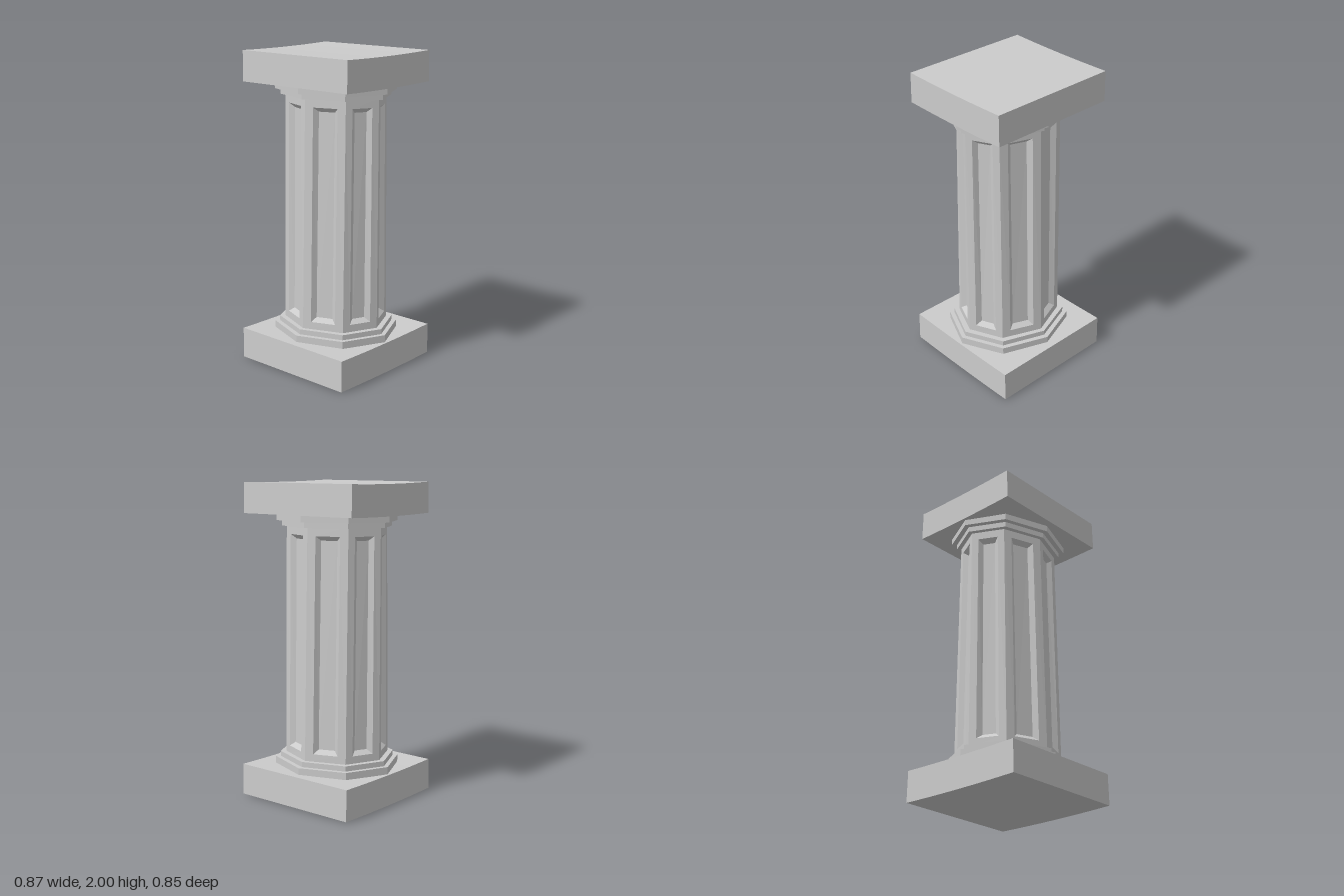
import * as THREE from 'three';

const material = new THREE.MeshStandardMaterial({ color: 0xcccccc, flatShading: true });

function addMesh(group, geometry, name) {
  const mesh = new THREE.Mesh(geometry, material);
  mesh.name = name;
  group.add(mesh);
}

// Square slab with a very slight sag across x and a little widening to the front
function slab(halfBottom, halfTop, y0, y1) {
  const geo = new THREE.BoxGeometry(2, 1, 0.854, 8, 1, 1);
  const p = geo.attributes.position;
  for (let i = 0; i < p.count; i++) {
    const t = p.getY(i) + 0.5, u = p.getX(i), z = p.getZ(i);
    const half = THREE.MathUtils.lerp(halfBottom, halfTop, t);
    p.setXYZ(i, u * half * (1 + 0.015 * z), y0 + (y1 - y0) * t + 0.006 * (u * u - t), z);
  }
  geo.computeVertexNormals();
  return geo;
}

// Octagonal moulding, corners on the axes
function moulding(rx, rz, y0, y1) {
  return new THREE.CylinderGeometry(1, 1, y1 - y0, 8)
    .scale(rx, 1, rz)
    .translate(0, (y0 + y1) / 2, 0);
}

// Octagonal shaft, tapering in x only, with a bevelled recessed panel on each face
function shaft() {
  const y0 = 0.27, y1 = 1.74, panel0 = 0.325, panel1 = 1.68;
  const bevel = 0.027, depth = 0.028;
  const verts = [];
  const corner = (k, y) => {
    const a = k * Math.PI / 4;
    const rx = THREE.MathUtils.lerp(0.312, 0.278, (y - y0) / (y1 - y0));
    const diag = k % 2 ? 0.97 : 1;
    return new THREE.Vector3(Math.sin(a) * rx * diag, y, Math.cos(a) * 0.345 * (k % 2 ? 1.02 : 1));
  };
  const quad = (a, b, c, d) => [a, b, c, a, c, d].forEach(v => verts.push(v.x, v.y, v.z));

  for (let k = 0; k < 8; k++) {
    const point = (u, y, d) => {
      const a = corner(k, y), b = corner(k + 1, y);
      const n = new THREE.Vector3(a.z - b.z, 0, b.x - a.x).normalize();
      return a.lerp(b, u).addScaledVector(n, -d);
    };
    const rect = (u0, u1, b, t, d) => [point(u0, b, d), point(u1, b, d), point(u1, t, d), point(u0, t, d)];
    const width = corner(k, 1).distanceTo(corner(k + 1, 1));
    const du = bevel / width;
    const loops = [
      rect(0, 1, y0, y1, 0),
      rect(0.2, 0.8, panel0, panel1, 0),
      rect(0.2 + du, 0.8 - du, panel0 + bevel, panel1 - bevel, depth),
    ];
    // frame, then bevel, then recessed panel
    for (let l = 0; l < 2; l++)
      for (let i = 0; i < 4; i++) {
        const j = (i + 1) % 4;
        quad(loops[l][i], loops[l][j], loops[l + 1][j], loops[l + 1][i]);
      }
    quad(...loops[2]);
  }
  const geo = new THREE.BufferGeometry();
  geo.setAttribute('position', new THREE.Float32BufferAttribute(verts, 3));
  geo.computeVertexNormals();
  return geo;
}

export function createModel() {
  const column = new THREE.Group();
  column.name = 'column';
  addMesh(column, slab(0.43, 0.426, 0, 0.204), 'baseSlab');
  addMesh(column, moulding(0.374, 0.412, 0.198, 0.245), 'lowerBaseMoulding');
  addMesh(column, moulding(0.342, 0.383, 0.243, 0.278), 'upperBaseMoulding');
  addMesh(column, shaft(), 'panelledShaft');
  addMesh(column, moulding(0.307, 0.376, 1.73, 1.766), 'lowerCapitalMoulding');
  addMesh(column, moulding(0.34, 0.41, 1.764, 1.805), 'upperCapitalMoulding');
  addMesh(column, slab(0.384, 0.38, 1.802, 2), 'capitalSlab');
  return column;
}
